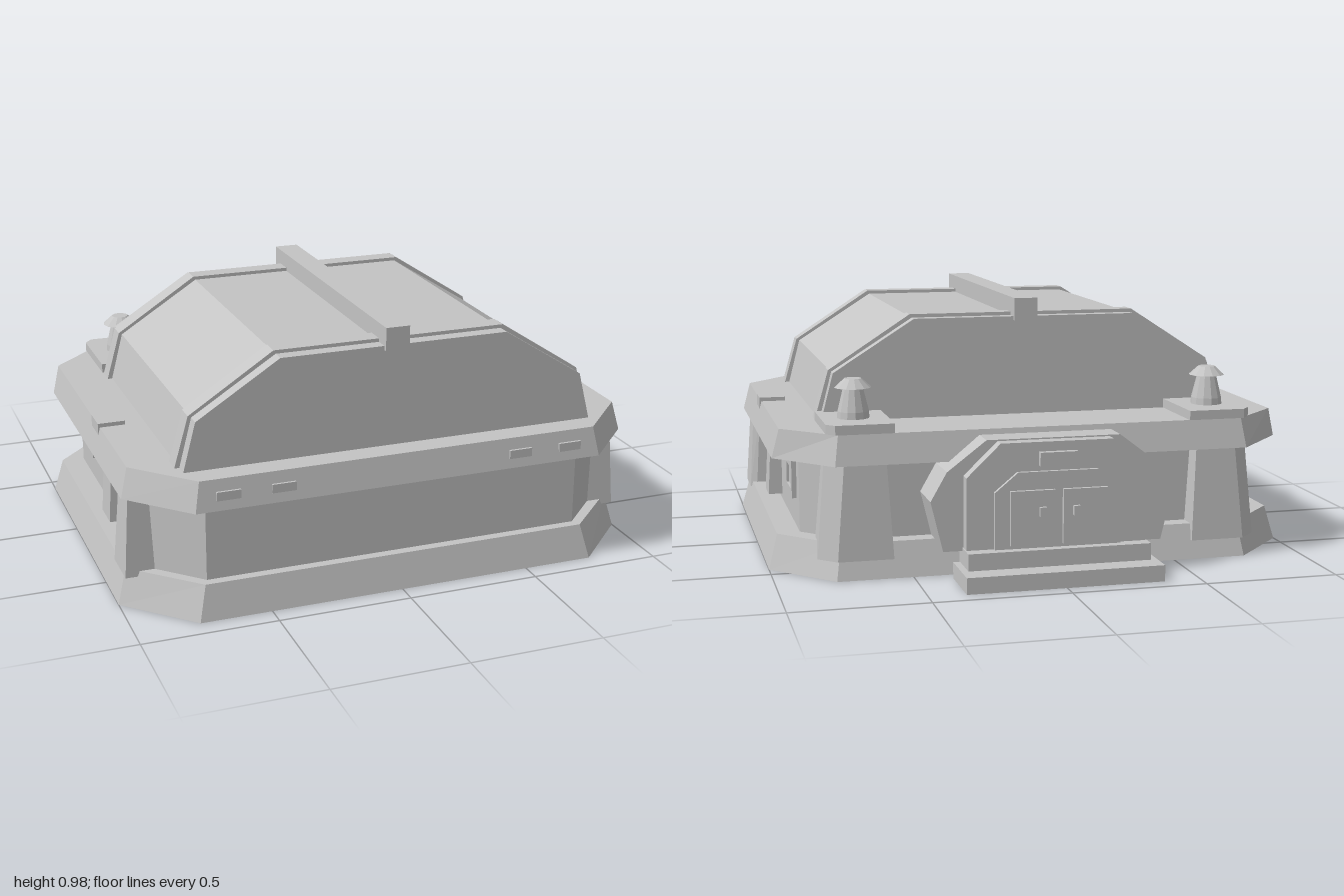
import * as THREE from 'three';

// Double-sided because the base and the lower step are open underneath
const grey = new THREE.MeshStandardMaterial({ color: 0xc4c4c4, side: THREE.DoubleSide });
grey.name = 'grey';

// Body through horizontal rings [y, [[x, z], ...]], listed bottom to top; side -1 mirrors x.
function loft(rings, { side = 1, openBelow = false } = {}) {
  const pos = [];
  const loops = rings.map(([y, pts]) => {
    const loop = pts.map(([x, z]) => [x * side, y, z]);
    return side < 0 ? loop.reverse() : loop;
  });
  const tri = (...corners) => corners.forEach((c) => pos.push(...c));
  const n = loops[0].length;
  for (let k = 0; k + 1 < loops.length; k++) {
    const a = loops[k], b = loops[k + 1];
    for (let i = 0; i < n; i++) {
      const j = (i + 1) % n;
      tri(a[i], a[j], b[j]);
      tri(a[i], b[j], b[i]);
    }
  }
  const low = loops[0], high = loops[loops.length - 1];
  for (let i = 1; i + 1 < n; i++) {
    if (!openBelow) tri(low[0], low[i + 1], low[i]);
    tri(high[0], high[i], high[i + 1]);
  }
  const g = new THREE.BufferGeometry();
  g.setAttribute('position', new THREE.Float32BufferAttribute(pos, 3));
  g.computeVertexNormals();
  return g;
}

// Eight-sided plan: half width x, front corner (fx, zf) to (x, fz), back corner (x, bz) to (bx, zb).
const plan = (x, fx, zf, fz, bz, bx, zb) => [
  [-fx, zf], [fx, zf], [x, fz], [x, bz], [bx, zb], [-bx, zb], [-x, bz], [-x, fz],
];
const rect = (x0, x1, z0, z1) => [[x0, z1], [x1, z1], [x1, z0], [x0, z0]];
const points = (list) => list.map(([x, y]) => new THREE.Vector2(x, y));

// Mirror-symmetric outline (right half, bottom to top), extruded from z0 to z1.
function arch(half, z0, z1) {
  const left = half.map(([x, y]) => [-x, y]).reverse();
  const shape = new THREE.Shape(points([...half, ...left]));
  return new THREE.ExtrudeGeometry(shape, { depth: z1 - z0, bevelEnabled: false }).translate(0, 0, z0);
}

export function createModel() {
  const model = new THREE.Group();
  model.name = 'bunker';
  const add = (name, geometry) => {
    const mesh = new THREE.Mesh(geometry, grey);
    mesh.name = name;
    model.add(mesh);
    return mesh;
  };
  const box = (name, x0, x1, y0, y1, z0, z1) =>
    add(name, new THREE.BoxGeometry(x1 - x0, y1 - y0, z1 - z0)
      .translate((x0 + x1) / 2, (y0 + y1) / 2, (z0 + z1) / 2));

  // Sloped hollow base, walls and flared roof slab
  add('base', loft([
    [0, plan(1, 0.765, 0.925, 0.69, -0.43, 0.78, -0.66)],
    [0.13, plan(0.966, 0.735, 0.895, 0.67, -0.41, 0.76, -0.625)],
  ], { openBelow: true }));
  add('walls', loft([
    [0.13, plan(0.88, 0.72, 0.86, 0.7, -0.4, 0.72, -0.56)],
    [0.42, plan(0.88, 0.72, 0.86, 0.7, -0.4, 0.72, -0.56)],
  ], { openBelow: true }));
  add('roofSlab', loft([
    [0.42, plan(0.982, 0.775, 0.935, 0.72, -0.44, 0.78, -0.66)],
    [0.53, plan(0.955, 0.755, 0.915, 0.705, -0.45, 0.765, -0.635)],
  ]));

  // Faceted vault with two ribs and a ridge beam
  add('vault', arch([[0.785, 0.53], [0.738, 0.71], [0.43, 0.905]], -0.335, 0.825));
  for (const z of [-0.29, 0.705])
    add('vaultRib', arch([[0.803, 0.53], [0.75, 0.716], [0.438, 0.918]], z, z + 0.07));
  box('ridgeBeam', -0.045, 0.045, 0.89, 0.975, -0.35, 0.84);

  for (const side of [-1, 1]) {
    const span = (a, b) => (side > 0 ? [a, b] : [-b, -a]);

    // Battered buttresses and the side pilaster
    add('sideButtress', loft([
      [0.11, [[0.862, 0.712], [0.976, 0.712], [0.976, 0.545], [0.95, 0.53], [0.862, 0.53]]],
      [0.42, [[0.872, 0.7], [0.955, 0.7], [0.955, 0.57], [0.93, 0.552], [0.872, 0.552]]],
    ], { side }));
    add('cornerButtress', loft([
      [0.07, [[0.57, -0.49], [0.84, -0.49], [0.84, -0.59], [0.775, -0.655], [0.57, -0.655]]],
      [0.42, [[0.59, -0.505], [0.81, -0.505], [0.81, -0.567], [0.745, -0.632], [0.59, -0.632]]],
    ], { side }));
    add('sidePilaster', loft([
      [0.15, rect(0.87, 0.935, 0.185, 0.31)],
      [0.42, rect(0.87, 0.92, 0.195, 0.302)],
    ], { side }));

    // Framed side windows
    for (const z of [-0.22, 0.52]) {
      const frame = new THREE.Shape(points([[-0.1, 0.24], [0.1, 0.24], [0.1, 0.395], [-0.1, 0.395]]));
      frame.holes.push(new THREE.Path(
        points([[-0.065, 0.27], [-0.065, 0.352], [0.065, 0.352], [0.065, 0.27]])));
      add('windowFrame', new THREE.ExtrudeGeometry(frame, { depth: 0.02, bevelEnabled: false })
        .rotateY(side * Math.PI / 2).translate(side * 0.878, 0, z));
      box('windowPane', ...span(0.881, 0.889), 0.27, 0.352, z - 0.065, z + 0.065);
    }

    // Roof details: edge block, front slots, vent pad and vent
    box('roofEdgeBlock', ...span(0.86, 0.962), 0.5, 0.545, 0.195, 0.3);
    for (const x of [0.41, 0.61]) box('frontSlot', ...span(x, x + 0.088), 0.455, 0.487, 0.91, 0.932);
    const pad = [[0.56, -0.305], [0.805, -0.305], [0.805, -0.605], [0.775, -0.64], [0.56, -0.64]];
    add('ventPad', loft([[0.53, pad], [0.565, pad]], { side }));
    const vent = [[0.06, 0.565], [0.058, 0.59], [0.037, 0.675], [0.068, 0.677], [0.032, 0.71], [0, 0.71]];
    const ventMesh = add('vent', new THREE.LatheGeometry(points(vent), 12).toNonIndexed());
    ventMesh.geometry.computeVertexNormals();
    ventMesh.position.set(side * 0.685, 0, -0.475);

    // Double door leaf and handle
    box('doorLeaf', ...span(0.015, 0.18), 0.135, 0.335, -0.83, -0.8);
    box('doorHandle', ...span(0.05, 0.075), 0.24, 0.275, -0.845, -0.828);
  }

  // Entrance porch with stepped arches and lamp
  add('porchBody', arch([[0.41, 0.11], [0.455, 0.295], [0.395, 0.4], [0.25, 0.51]], -0.75, -0.55));
  add('porchArch', arch([[0.335, 0.11], [0.335, 0.385], [0.21, 0.505]], -0.8, -0.75));
  add('doorSurround', arch([[0.235, 0.11], [0.235, 0.33], [0.15, 0.4]], -0.815, -0.8));
  box('porchLamp', -0.07, 0.07, 0.42, 0.47, -0.825, -0.8);

  // Free-standing stairs, the lower step hollow
  box('upperStep', -0.34, 0.34, 0.06, 0.122, -0.85, -0.7);
  const tread = rect(-0.365, 0.365, -0.935, -0.71);
  add('lowerStep', loft([[0, tread], [0.06, tread]], { openBelow: true }));
  return model;
}
